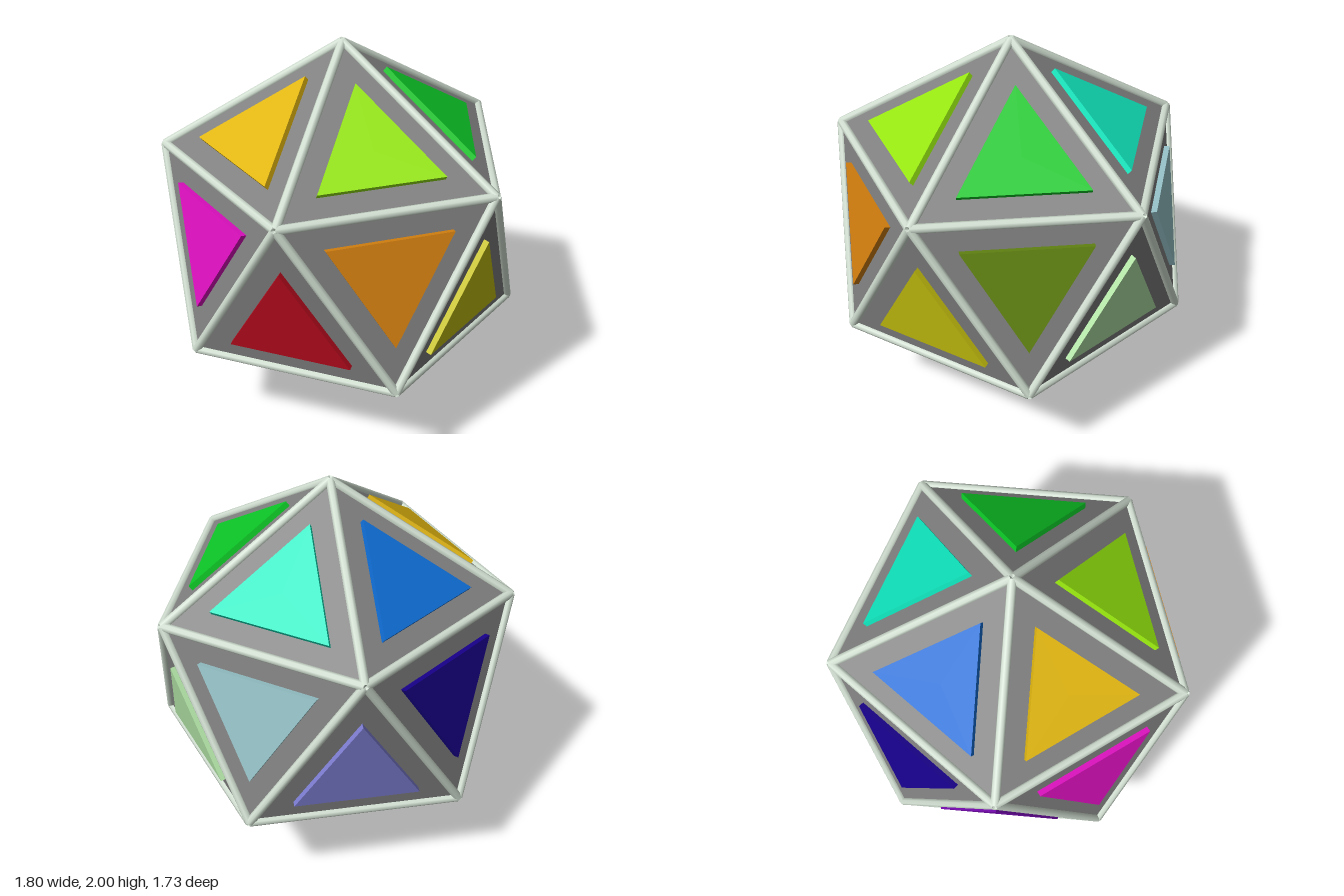
import * as THREE from 'three';
import { ConvexGeometry } from 'three/addons/geometries/ConvexGeometry.js';

const R = 0.982;          // corner distance from the centre
const BAR = 0.022;        // radius of the edge bars
const RAISE = 0.028;      // height of the coloured panels above the faces
const TURN = 1.6;         // rotation about the vertical axis, degrees

// Panel colours, five per tier
const COLORS = {
  top: [0x96e60f, 0xe1b60f, 0x0f6cd2, 0x10e6be, 0x0cc826],
  upper: [0xd78210, 0xe110c3, 0x18008c, 0x96c3c8, 0x648714],
  lower: [0xc8c310, 0xb90c1e, 0x780ab4, 0x7d7dd2, 0xb4e6a8],
  bottom: [0xbebebe, 0xe6d791, 0xbe786e, 0xc876c8, 0x0a0a0a],
};

// Corner on one of the two five-point rings
function ringPoint(i, degrees, sign) {
  const a = THREE.MathUtils.degToRad(TURN + degrees + 72 * i);
  const r = R * 2 / Math.sqrt(5);
  return new THREE.Vector3(r * Math.cos(a), sign * R / Math.sqrt(5), r * Math.sin(a));
}

function material(color) {
  return new THREE.MeshStandardMaterial({ color, flatShading: true });
}

// Raised triangular slab on the face a, b, c
function makePanel(a, b, c, color, name) {
  const center = a.clone().add(b).add(c).divideScalar(3);
  const normal = center.clone().normalize();
  const toCorner = a.clone().sub(center);
  const radius = toCorner.length() * 0.59;
  const depth = RAISE + 0.02;
  const geometry = new THREE.CylinderGeometry(radius, radius, depth, 3);
  geometry.translate(0, RAISE - depth / 2, 0);
  const zAxis = toCorner.normalize();
  const xAxis = normal.clone().cross(zAxis);
  geometry.applyMatrix4(new THREE.Matrix4().makeBasis(xAxis, normal, zAxis).setPosition(center));
  const mesh = new THREE.Mesh(geometry, material(color));
  mesh.name = name;
  return mesh;
}

// Round bar along one edge
function makeBar(a, b, mat) {
  const dir = b.clone().sub(a);
  const mesh = new THREE.Mesh(new THREE.CylinderGeometry(BAR, BAR, dir.length(), 8), mat);
  mesh.position.copy(a).add(b).multiplyScalar(0.5);
  mesh.quaternion.setFromUnitVectors(new THREE.Vector3(0, 1, 0), dir.normalize());
  mesh.name = 'edgeBar';
  return mesh;
}

export function createModel() {
  const model = new THREE.Group();
  model.name = 'icosahedron';
  const solid = new THREE.Group();
  solid.name = 'solid';
  solid.position.y = 1;
  model.add(solid);

  const apex = new THREE.Vector3(0, R, 0);
  const base = new THREE.Vector3(0, -R, 0);
  const up = [0, 1, 2, 3, 4].map((i) => ringPoint(i, 0, 1));
  const low = [0, 1, 2, 3, 4].map((i) => ringPoint(i, 36, -1));
  const corners = [apex, base, ...up, ...low];

  // Solid core
  const core = new THREE.Mesh(new ConvexGeometry(corners), material(0x808080));
  core.name = 'core';
  solid.add(core);

  // Bars along all thirty edges
  const frame = new THREE.Group();
  frame.name = 'edgeFrame';
  const frameMaterial = new THREE.MeshStandardMaterial({ color: 0xd2e0d2 });
  corners.forEach((a, i) => {
    for (const b of corners.slice(i + 1)) {
      if (a.distanceTo(b) < 1.1 * R) frame.add(makeBar(a, b, frameMaterial));
    }
  });
  solid.add(frame);

  // Twenty coloured panels
  const panels = new THREE.Group();
  panels.name = 'panels';
  for (let i = 0; i < 5; i++) {
    const next = (i + 1) % 5, prev = (i + 4) % 5;
    panels.add(
      makePanel(apex, up[i], up[next], COLORS.top[i], 'topPanel'),
      makePanel(low[i], up[i], up[next], COLORS.upper[i], 'upperPanel'),
      makePanel(up[i], low[prev], low[i], COLORS.lower[i], 'lowerPanel'),
      makePanel(base, low[prev], low[i], COLORS.bottom[i], 'bottomPanel'),
    );
  }
  solid.add(panels);
  return model;
}
